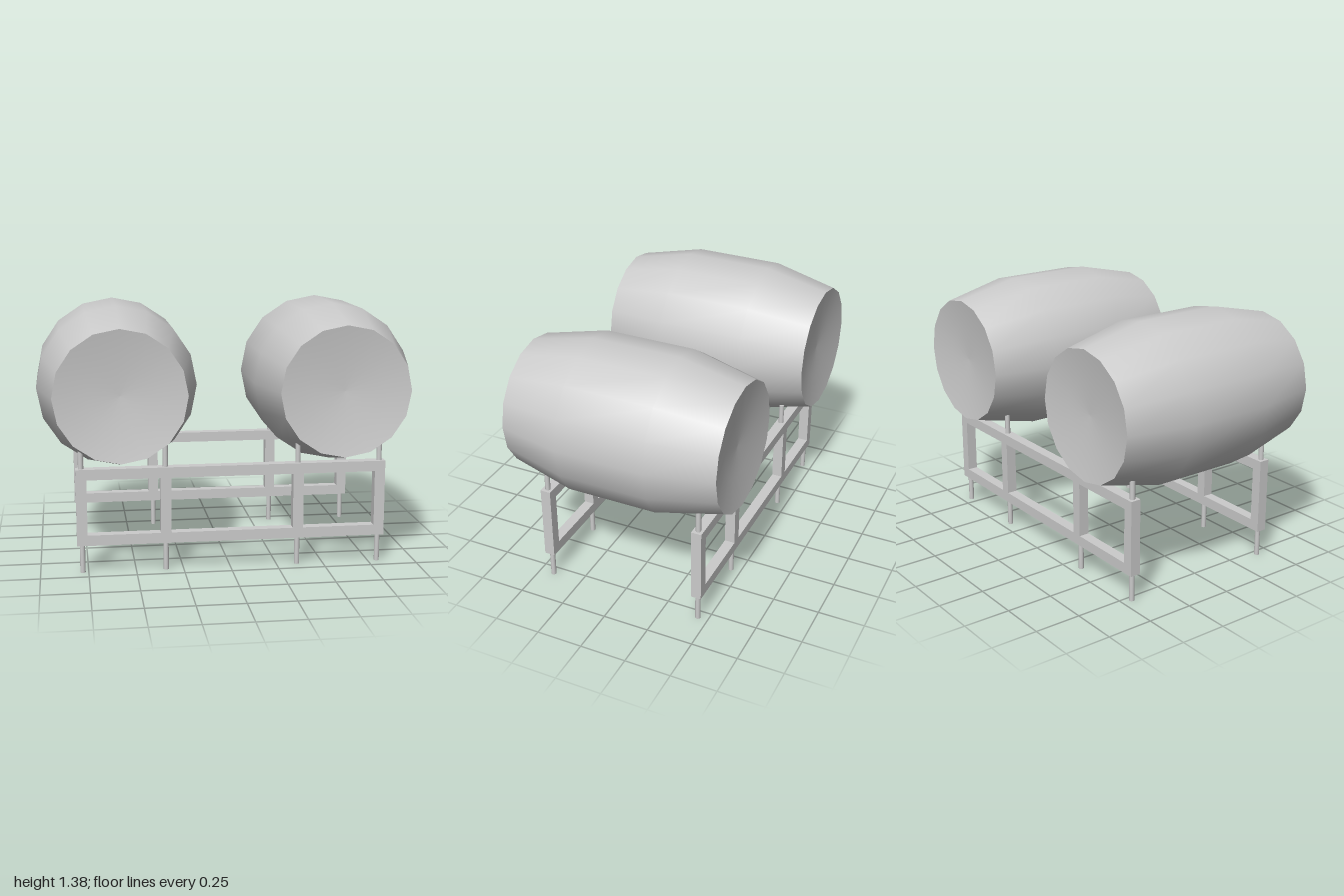
import * as THREE from 'three';

const mat = new THREE.MeshStandardMaterial({ color: 0xcccccc });

function add(parent, geometry, name, x = 0, y = 0, z = 0) {
  const mesh = new THREE.Mesh(geometry, mat);
  mesh.name = name;
  mesh.position.set(x, y, z);
  parent.add(mesh);
  return mesh;
}

const lathe = (pts) =>
  new THREE.LatheGeometry(pts.map(([r, h]) => new THREE.Vector2(r, h)), 16).rotateX(Math.PI / 2);

// Sixteen-sided barrel lying along z, with shallow dished heads
function makeBarrel(name) {
  const barrel = new THREE.Group();
  barrel.name = name;
  add(barrel, lathe([[0.342, -0.585], [0.422, -0.24], [0.422, 0.24], [0.342, 0.585]]), 'staves');
  const head = lathe([[0.342, 0.585], [0.17, 0.558], [0, 0.55]]);
  add(barrel, head, 'frontHead');
  add(barrel, head, 'backHead').rotation.y = Math.PI;
  return barrel;
}

// Flat ladder frame with round pegs running through its uprights
function makeRack(name) {
  const rack = new THREE.Group();
  rack.name = name;
  const t = 0.056, left = -0.808, right = 0.828, bottom = 0.15, top = 0.557;
  const rail = new THREE.BoxGeometry(right - left, t, t);
  add(rack, rail, 'lowerRail', (left + right) / 2, bottom + t / 2);
  add(rack, rail, 'upperRail', (left + right) / 2, top - t / 2);
  const upright = new THREE.BoxGeometry(t, top - bottom - 2 * t, t);
  const peg = new THREE.CylinderGeometry(0.014, 0.014, 0.67, 12);
  for (const x of [left + t / 2, -0.342, 0.36, right - t / 2]) {
    add(rack, upright, 'upright', x, (top + bottom) / 2);
    add(rack, peg, 'peg', x, 0.335);
  }
  return rack;
}

export function createModel() {
  const model = new THREE.Group();
  model.name = 'barrelRack';

  // Two barrels side by side
  for (const [name, x] of [['rightBarrel', -0.577], ['leftBarrel', 0.577]]) {
    const barrel = makeBarrel(name);
    barrel.position.set(x, 0.955, 0);
    model.add(barrel);
  }

  // Front and back racks
  for (const [name, z] of [['frontRack', 0.419], ['backRack', -0.444]]) {
    const rack = makeRack(name);
    rack.position.z = z;
    model.add(rack);
  }
  return model;
}
